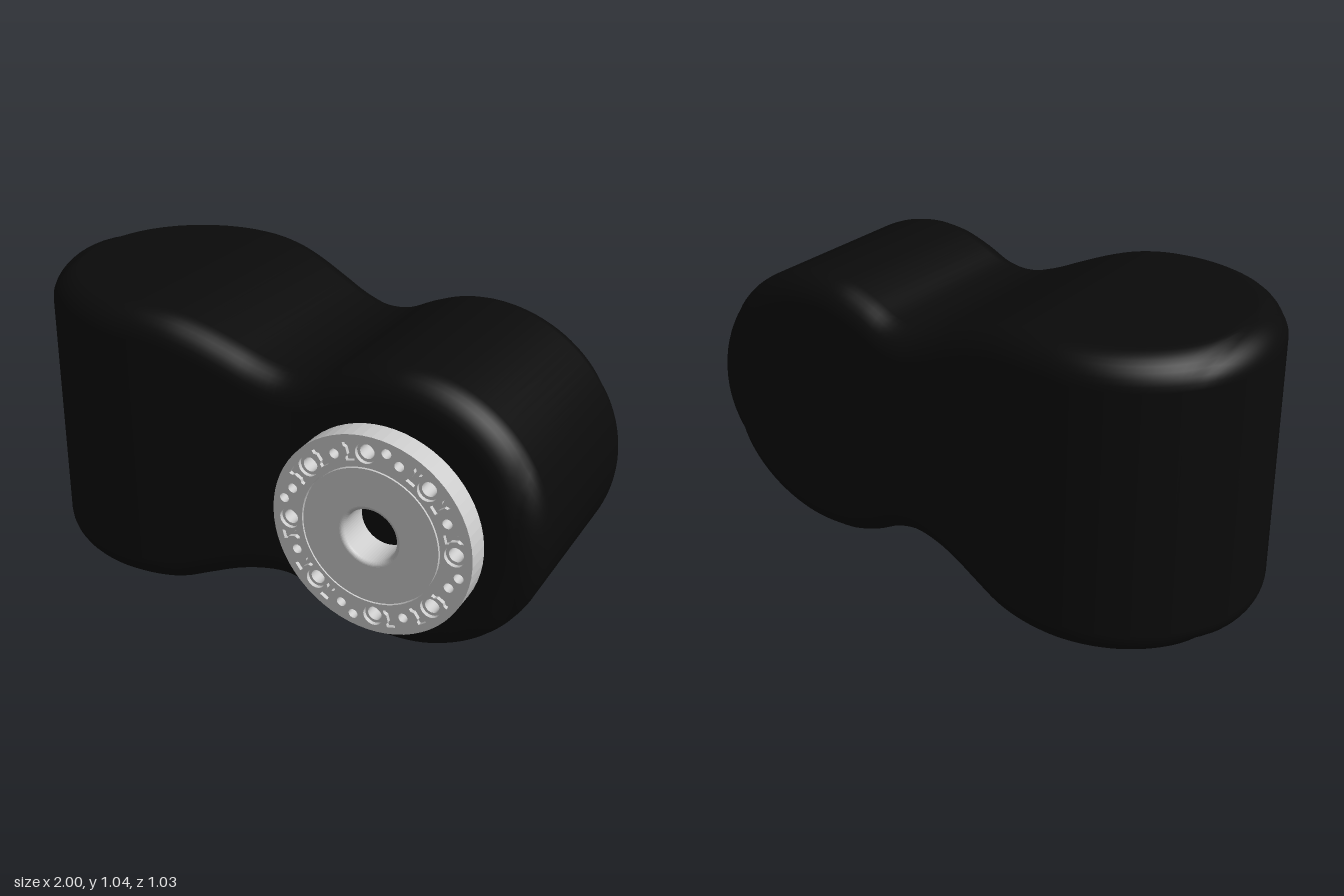
import * as THREE from 'three';
import { mergeVertices } from 'three/addons/utils/BufferGeometryUtils.js';

const FILLET = 0.1, END = 0.495, CORNER = 8;

// smooth curve through values evenly spaced over x = -0.5 .. 0.5
function profile(values) {
  const curve = new THREE.SplineCurve(values.map((v, i) => new THREE.Vector2(i, v)));
  return x => curve.getPoint(THREE.MathUtils.clamp(x + 0.5, 0, 1)).y;
}
const top = profile([1.047, 1.044, 1.03, 1.0, 0.96, 0.918, 0.893, 0.905, 0.952, 0.988, 1.0]);
const bottom = profile([0.003, 0.008, 0.025, 0.065, 0.105, 0.132, 0.14, 0.115, 0.063, 0.03, 0.02]);
const front = profile([0.462, 0.457, 0.446, 0.431, 0.416, 0.402, 0.391, 0.386, 0.387, 0.388, 0.39]);
const back = profile([-0.518, -0.513, -0.5, -0.482, -0.462, -0.444, -0.43, -0.422, -0.417, -0.414, -0.41]);

// slice through a round end at distance d from its axis
function endSlice(half, d) {
  const inner = END - FILLET;
  const w = half * Math.sqrt(Math.max(0, 1 - (d / END) ** 2));
  const flat = d < inner ? (half - FILLET) * Math.sqrt(1 - (d / inner) ** 2) : 0;
  const r = d < inner ? FILLET : Math.sqrt(Math.max(0, FILLET ** 2 - (d - inner) ** 2));
  return { w, round: w - flat, r };
}

// rounded rectangle at x, with elliptical corners
function section(x) {
  let t = top(x), b = bottom(x), f = front(x), k = back(x), ry = FILLET, rz = FILLET;
  const d = Math.abs(x) - 0.5;
  if (d > 0 && x < 0) {          // upright half cylinder on the left
    const s = endSlice((f - k) / 2, d), c = (f + k) / 2;
    f = c + s.w; k = c - s.w; rz = s.round; ry = s.r;
    t += ry - FILLET; b -= ry - FILLET;
  } else if (d > 0) {            // lying half cylinder on the right
    const s = endSlice((t - b) / 2, d), c = (t + b) / 2;
    t = c + s.w; b = c - s.w; ry = s.round; rz = s.r;
    f += rz - FILLET; k -= rz - FILLET;
  }
  const pts = [];
  const corners = [[f - rz, t - ry], [k + rz, t - ry], [k + rz, b + ry], [f - rz, b + ry]];
  corners.forEach(([z, y], q) => {
    for (let i = 0; i <= CORNER; i++) {
      const a = (q + i / CORNER) * Math.PI / 2;
      const pz = z + rz * Math.cos(a), py = y + ry * Math.sin(a);
      // ends lean very slightly
      const lean = d > 0 ? (x < 0 ? 0.014 * py - 0.007 : -0.012 * pz) * d / END : 0;
      pts.push(x + lean, py, pz);
    }
  });
  return pts;
}

function bodyGeometry() {
  const xs = [], n = 28;
  for (let i = 0; i < n; i++) xs.push(-0.5 - END * Math.cos(i / n * Math.PI / 2));
  for (let i = 0; i <= 40; i++) xs.push(-0.5 + i / 40);
  for (let i = 1; i <= n; i++) xs.push(0.5 + END * Math.sin(i / n * Math.PI / 2));
  const pos = xs.flatMap(section), index = [], m = 4 * (CORNER + 1);
  for (let i = 0; i < xs.length - 1; i++) {
    for (let j = 0; j < m; j++) {
      const a = i * m + j, b = i * m + (j + 1) % m;
      index.push(a, a + m, b + m, a, b + m, b);
    }
  }
  let g = new THREE.BufferGeometry();
  g.setAttribute('position', new THREE.Float32BufferAttribute(pos, 3));
  g.setIndex(index);
  g = mergeVertices(g, 1e-5);
  g.computeVertexNormals();
  return g;
}

const polar = (deg, r) => new THREE.Vector2(r, 0).rotateAround(new THREE.Vector2(), deg * Math.PI / 180);

function circle(Type, r, deg = 0, dist = 0) {
  const c = polar(deg, dist), p = new Type();
  p.absarc(c.x, c.y, r, 0, Math.PI * 2, false);
  return p;
}

// small I-shaped pocket pointing outward
function pocket(deg) {
  const half = [[-0.03, -0.015], [-0.019, -0.015], [-0.012, -0.007], [0.012, -0.007], [0.019, -0.015], [0.03, -0.015]];
  const pts = [...half, ...half.map(([x, y]) => [x, -y]).reverse()];
  return new THREE.Path(pts.map(([x, y]) =>
    new THREE.Vector2(0.287 + x, y).rotateAround(new THREE.Vector2(), deg * Math.PI / 180)));
}

function plate(shape, holes, z, depth) {
  shape.holes = holes;
  const g = new THREE.ExtrudeGeometry(shape, { depth, bevelEnabled: false, curveSegments: 32 });
  return g.translate(0, 0, z);
}

export function createModel() {
  const group = new THREE.Group();
  const black = new THREE.MeshStandardMaterial({ color: 0x0a0a0a });
  const grey = new THREE.MeshStandardMaterial({ color: 0xcccccc });
  const add = (parent, name, geometry, material) => {
    const mesh = new THREE.Mesh(geometry, material);
    mesh.name = name;
    parent.add(mesh);
  };
  add(group, 'body', bodyGeometry(), black);

  const flange = new THREE.Group();
  flange.name = 'flange';
  flange.position.set(0.495, 0.507, 0);
  flange.rotation.y = -0.012;
  group.add(flange);

  // hole pattern repeats every quarter turn
  const bolts = [], counterbores = [], pins = [], pinMouths = [], pockets = [];
  for (let q = 0; q < 360; q += 90) {
    for (const a of [4, 49]) {
      bolts.push(circle(THREE.Path, 0.024, q + a, 0.284));
      counterbores.push(circle(THREE.Path, 0.034, q + a, 0.284));
    }
    for (const [a, r] of [[-9.5, 0.305], [-19, 0.286], [26, 0.284]]) {
      pins.push(circle(THREE.Path, 0.016, q + a, r));
      pinMouths.push(circle(THREE.Path, 0.016, q + a, r));
    }
    for (const a of [15.5, 37, 60]) pockets.push(pocket(q + a));
  }
  add(flange, 'flangePlate',
    plate(circle(THREE.Shape, 0.342), [circle(THREE.Path, 0.09), ...bolts, ...pins], 0.427, 0.07), grey);
  add(flange, 'boltRing',
    plate(circle(THREE.Shape, 0.342), [circle(THREE.Path, 0.237), ...counterbores, ...pinMouths, ...pockets], 0.497, 0.014), grey);

  // inner disc with a rounded mouth
  const rim = [[0.09, 0.495]];
  for (let i = 0; i <= 6; i++) {
    const a = i / 6 * Math.PI / 2;
    rim.push([0.104 - 0.014 * Math.cos(a), 0.497 + 0.014 * Math.sin(a)]);
  }
  rim.push([0.232, 0.511], [0.232, 0.511], [0.232, 0.495]);
  const lathe = new THREE.LatheGeometry(rim.map(p => new THREE.Vector2(...p)).reverse(), 64);
  const disc = lathe.rotateX(Math.PI / 2).toNonIndexed();
  disc.computeVertexNormals();
  add(flange, 'innerDisc', disc, new THREE.MeshStandardMaterial({ color: 0xcccccc, side: THREE.DoubleSide }));

  add(flange, 'hub', plate(circle(THREE.Shape, 0.105), [circle(THREE.Path, 0.09)], 0.37, 0.058), grey);
  return group;
}
